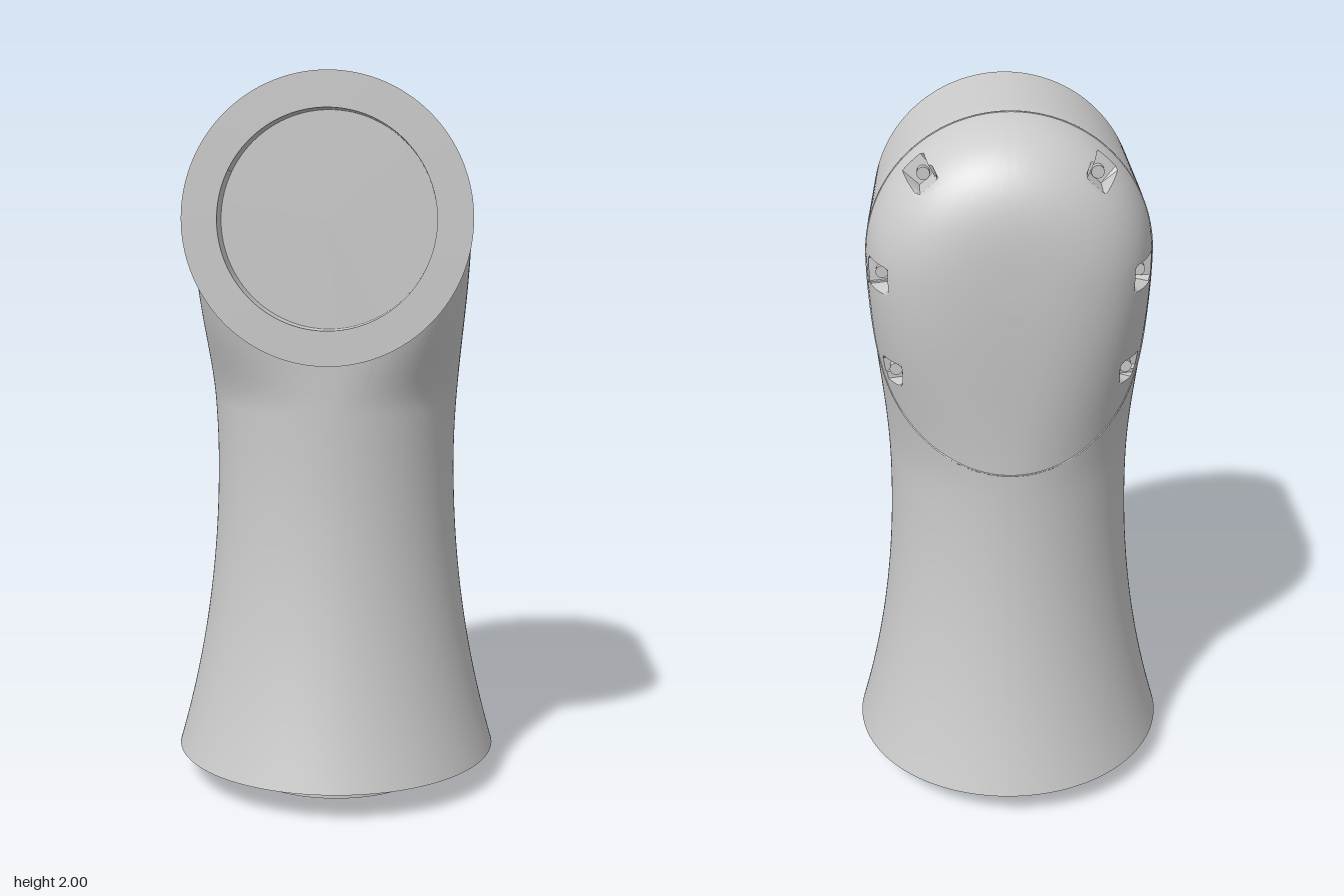
import * as THREE from 'three';
import { toCreasedNormals } from 'three/addons/utils/BufferGeometryUtils.js';

const HEAD_Y = 1.615, HEAD_R = 0.385, BACK = 0.375, FRONT = 0.365, POWER = 3.05;
const SEAM_Z = -0.11;
const SEGMENTS = 256;
const smooth = THREE.MathUtils.smoothstep;

// Screw pockets on the +x side: height of axis, outward angle, floor distance, front wall z
const POCKETS = [
  { y: HEAD_Y, angle: 0.84, floor: 0.315, wall: -0.18, half: 0.032 },
  { y: 1.602, angle: 0, floor: 0.318, wall: -0.18, half: 0.032 },
  { y: 1.335, angle: 0, floor: 0.29, wall: -0.2, half: 0.03 },
];

// Radii and roundness of the column's horizontal section at height y
function section(y) {
  const base = 0.343 + 0.163 * Math.pow(Math.max(0, 0.95 - y), 2.08);
  const rise = smooth(y, 0.95, HEAD_Y);
  return {
    rx: base + (HEAD_R - 0.343) * rise,
    back: base + (BACK - 0.343) * rise,
    front: base + 0.015 * rise,
    nBack: 2 + (POWER - 2) * smooth(y, 1, HEAD_Y),
    nFront: 2 + 3 * smooth(y, 1.1, HEAD_Y),
  };
}

// Distance from the centre of a superellipse in direction (c, s)
function superRadius(c, s, a, b, n) {
  return Math.pow(Math.pow(Math.abs(c) / a, n) + Math.pow(Math.abs(s) / b, n), -1 / n);
}

// Press the pockets into a surface
function cutPockets(geometry) {
  const p = geometry.attributes.position;
  for (let i = 0; i < p.count; i++) {
    let x = Math.abs(p.getX(i)), y = p.getY(i);
    const side = p.getX(i) < 0 ? -1 : 1, z = p.getZ(i);
    for (const k of POCKETS) {
      const c = Math.cos(k.angle), s = Math.sin(k.angle);
      const out = x * c + (y - k.y) * s, across = (y - k.y) * c - x * s;
      if (z < k.wall && z > -0.32 && Math.abs(across) < k.half && out > k.floor) {
        x -= (out - k.floor) * c;
        y -= (out - k.floor) * s;
      }
    }
    p.setXYZ(i, side * x, y, z);
  }
  return geometry;
}

// Flared column lofted from a round foot to the head's section
function columnGeometry() {
  const heights = [];
  for (let i = 0; i < 30; i++) heights.push(0.08 + 0.92 * i / 30);
  for (let i = 0; i <= 62; i++) heights.push(1 + (HEAD_Y - 1) * i / 62);
  const positions = [], index = [];
  heights.forEach((y, row) => {
    const q = section(y);
    for (let j = 0; j < SEGMENTS; j++) {
      const t = j / SEGMENTS * Math.PI * 2, c = Math.cos(t), s = Math.sin(t);
      const r = s > 0 ? superRadius(c, s, q.rx, q.front, q.nFront) : superRadius(c, s, q.rx, q.back, q.nBack);
      let z = r * s;
      // stay behind the socket floor where the column runs inside the head
      if (Math.hypot(r * c, y - HEAD_Y) < 0.36) z = Math.min(z, 0.2);
      positions.push(r * c, y, z);
      if (row === heights.length - 1) continue;
      const a = row * SEGMENTS + j, b = row * SEGMENTS + (j + 1) % SEGMENTS;
      index.push(a, a + SEGMENTS, b, b, a + SEGMENTS, b + SEGMENTS);
    }
  });
  const g = new THREE.BufferGeometry();
  g.setAttribute('position', new THREE.Float32BufferAttribute(positions, 3));
  g.setIndex(index);
  return g;
}

// Horizontal head: domed back, straight barrel, round socket in the front
function headGeometry() {
  const profile = [];
  for (let i = 0; i <= 60; i++) {
    const t = i / 60 * Math.PI / 2, c = Math.sin(t), s = Math.cos(t);
    const r = superRadius(c, s, HEAD_R, BACK, POWER);
    profile.push(new THREE.Vector2(r * c, -r * s));
  }
  for (const [r, z] of [[HEAD_R, FRONT], [0.29, FRONT], [0.29, FRONT - 0.08], [0, FRONT - 0.08]]) {
    profile.push(new THREE.Vector2(r, z));
  }
  return new THREE.LatheGeometry(profile, SEGMENTS).rotateX(Math.PI / 2).translate(0, HEAD_Y, 0);
}

// Outline of the back cover: an arc over the head, then a curve down both sides
function seamCurve() {
  const points = [], steps = 40;
  const r = HEAD_R * Math.pow(1 - Math.pow(-SEAM_Z / BACK, POWER), 1 / POWER);
  for (let i = 0; i < steps; i++) {
    const t = i / steps * Math.PI;
    points.push(new THREE.Vector3(r * Math.cos(t), HEAD_Y + r * Math.sin(t), SEAM_Z));
  }
  const lower = [];
  for (let i = 0; i <= steps; i++) {
    const y = HEAD_Y - 0.545 * (1 - Math.pow(1 - i / steps, 2)), q = section(y);
    const z = SEAM_Z - 0.2358 * Math.pow(Math.max(0, (1.5 - y) / 0.43), 1.88);
    const x = q.rx * Math.pow(Math.max(0, 1 - Math.pow(-z / q.back, q.nBack)), 1 / q.nBack);
    lower.push(new THREE.Vector3(i === steps ? 0 : x, y, z));
  }
  for (const v of lower) points.push(new THREE.Vector3(-v.x, v.y, v.z));
  for (const v of lower.slice(1, -1).reverse()) points.push(v.clone());
  return new THREE.CatmullRomCurve3(points, true);
}

export function createModel() {
  const model = new THREE.Group();
  model.name = 'armJoint';
  const material = new THREE.MeshStandardMaterial({ color: 0xcccccc });
  const add = (name, geometry) => {
    const mesh = new THREE.Mesh(geometry, material);
    mesh.name = name;
    model.add(mesh);
    return mesh;
  };

  add('column', toCreasedNormals(cutPockets(columnGeometry()), 0.6));
  add('head', toCreasedNormals(cutPockets(headGeometry()), 0.6));

  // Foot: round spigot and flat underside of the column
  const foot = [[0, 0], [0.29, 0], [0.29, 0.08], [0.465, 0.08]].map(([r, y]) => new THREE.Vector2(r, y));
  add('footSpigot', toCreasedNormals(new THREE.LatheGeometry(foot, 96), 0.6));

  add('coverSeam', new THREE.TubeGeometry(seamCurve(), 240, 0.0025, 6, true));

  // Screw heads standing on the pocket walls
  for (const side of [1, -1]) {
    POCKETS.forEach((k, i) => {
      const d = k.floor + 0.018;
      const screw = add(`coverScrew${side > 0 ? 'Left' : 'Right'}${i + 1}`,
        new THREE.CylinderGeometry(0.017, 0.017, 0.03, 20).rotateX(Math.PI / 2));
      screw.position.set(side * d * Math.cos(k.angle), k.y + d * Math.sin(k.angle), k.wall - 0.008);
    });
  }
  return model;
}
